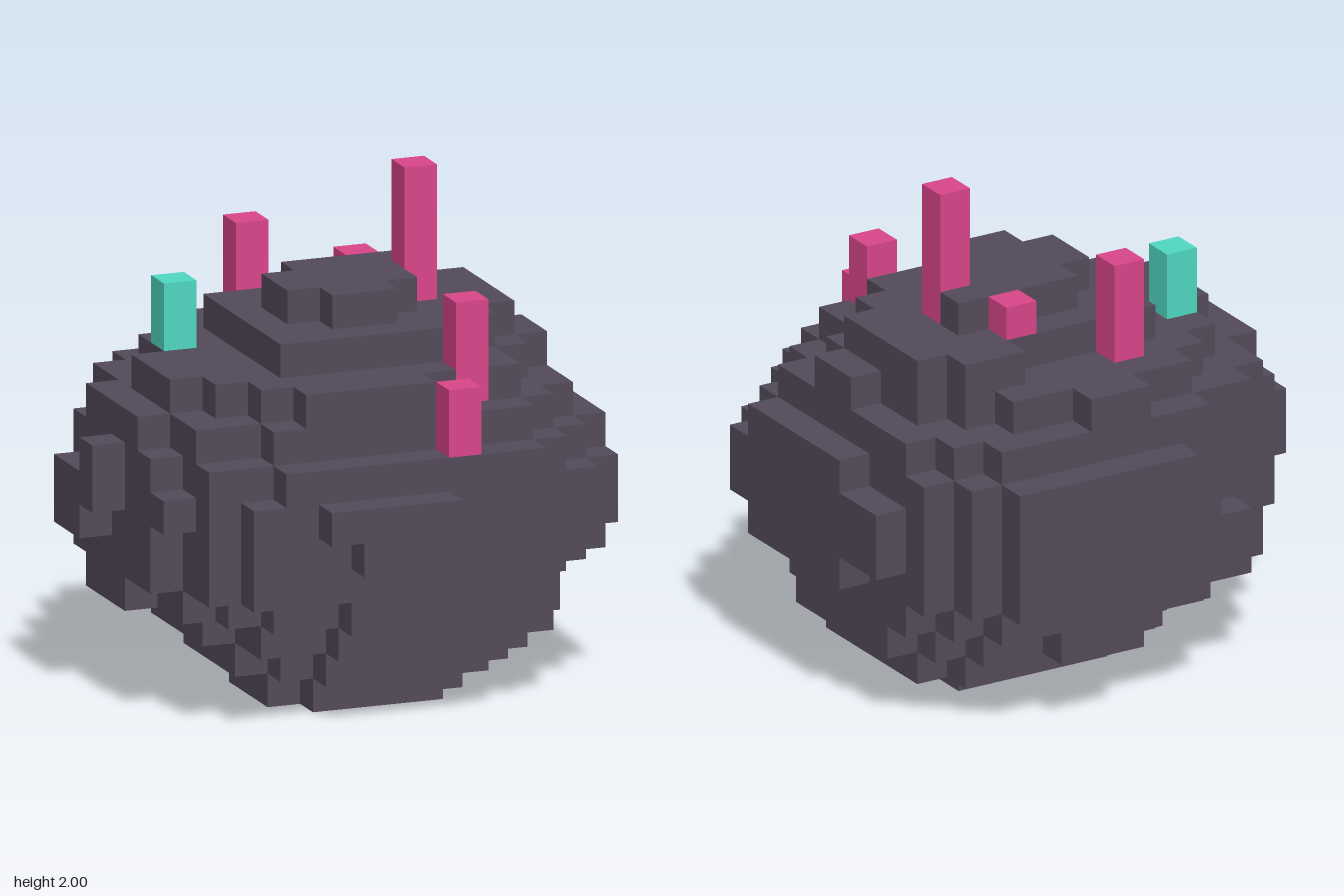
import * as THREE from 'three';

const U = 2 / 15; // edge of one block
const ORIGIN = [-1, 0, -14 * U / 2];

// Stacked layers from the ground up: [x0, x1, z0, z1, corner radii: backMinus, backPlus, frontMinus, frontPlus]
const LAYERS = [
  [5, 11, 5, 10, 2.5, 0, 2.5, 2.5],
  [4, 13, 3, 11, 4, 3, 4, 4],
  [3, 14, 2, 12, 5, 4, 5, 5],
  [1, 14, 1, 13, 6, 4, 8, 6],
  [1, 14, 1, 13, 6, 3, 5.5, 3.5],
  [1, 14, 1, 13, 7, 2.5, 5.5, 3.5],
  [1, 14, 1, 13, 7, 2.5, 4, 3.5],
  [1, 14, 1, 13, 7, 2.5, 5, 3.5],
  [1, 14, 1, 12, 6, 4, 5, 4],
  [2, 14, 1, 12, 8, 8, 5.5, 8],
  [5, 13, 4, 10, 0, 0, 0, 4],
  [6, 11, 5, 9, 2.5, 0, 2.5, 3.3],
];

// Raised plates and ledges: [x0, x1, y0, y1, z0, z1]
const PLATES = [
  [6, 12, 4, 8, 0, 1],                        // back
  [8, 10, 2, 3, 1, 2],                        // knob under the back plate
  [6, 9, 5, 6, 13, 14], [5, 9, 6, 7, 13, 14], // front
  [14, 15, 4, 5, 5, 10], [14, 15, 5, 7, 3, 11], [14, 15, 7, 8, 5, 10], // +x side
  [0, 1, 5, 6, 5, 7], [0, 1, 6, 7, 5, 8], [0, 1, 7, 8, 7, 8],          // -x side
  [10, 12, 10, 11, 3, 4],                     // ledge behind the crown
  [11, 12, 9, 10, 10, 11],                    // step beside the shoulder post
  [13, 14, 9, 10, 7, 8],                      // +x shoulder
  [13, 14, 5, 7, 11, 12],                     // front +x corner
  [3, 4, 4, 6, 12, 13], [2, 3, 4, 6, 11, 12], // front -x corner
  [1, 2, 4, 8, 4, 5], [2, 3, 4, 8, 3, 4],     // back -x corner
];

// Posts standing on the top: [name, colour, x, z, y0, y1]
const POSTS = [
  ['frontPost', 'pink', 9, 12, 8, 10],
  ['shoulderPost', 'pink', 10, 10, 9, 12],
  ['tallPost', 'pink', 10, 6, 11, 15],
  ['shortPost', 'pink', 9, 4, 11, 12],
  ['backPost', 'pink', 6, 3, 10, 13],
  ['tealPost', 'teal', 3, 5, 10, 12],
];

// Rounded-rectangle footprint test for one layer
function inLayer(x, y, z) {
  const layer = LAYERS[y];
  if (!layer) return false;
  const [x0, x1, z0, z1, ...radii] = layer;
  if (x < x0 || x >= x1 || z < z0 || z >= z1) return false;
  return radii.every((r, i) => {
    const a = r - 0.5 - (i % 2 ? x1 - 1 - x : x - x0);
    const b = r - 0.5 - (i < 2 ? z - z0 : z1 - 1 - z);
    return a <= 0 || b <= 0 || a * a + b * b <= r * r;
  });
}

function isRock(x, y, z) {
  if (POSTS.some(([, , px, pz, y0, y1]) => x === px && z === pz && y >= y0 && y < y1)) return false;
  return inLayer(x, y, z) || PLATES.some(([x0, x1, y0, y1, z0, z1]) =>
    x >= x0 && x < x1 && y >= y0 && y < y1 && z >= z0 && z < z1);
}

// Skin of all exposed block faces
function rockGeometry() {
  const pos = [], nor = [], index = [];
  const addFace = (cell, axis, sign) => {
    const u = (axis + 1) % 3, v = (axis + 2) % 3, base = pos.length / 3;
    for (const [a, b] of [[0, 0], [1, 0], [1, 1], [0, 1]]) {
      const p = [...cell], n = [0, 0, 0];
      p[axis] += sign > 0 ? 1 : 0;
      p[u] += a;
      p[v] += b;
      n[axis] = sign;
      pos.push(...p.map((c, i) => c * U + ORIGIN[i]));
      nor.push(...n);
    }
    const order = sign > 0 ? [0, 1, 2, 0, 2, 3] : [0, 2, 1, 0, 3, 2];
    index.push(...order.map((i) => base + i));
  };
  for (let x = 0; x < 15; x++) for (let y = 0; y < 12; y++) for (let z = 0; z < 14; z++) {
    if (!isRock(x, y, z)) continue;
    for (let axis = 0; axis < 3; axis++) for (const sign of [-1, 1]) {
      const n = [x, y, z];
      n[axis] += sign;
      if (!isRock(...n)) addFace([x, y, z], axis, sign);
    }
  }
  const g = new THREE.BufferGeometry();
  g.setAttribute('position', new THREE.Float32BufferAttribute(pos, 3));
  g.setAttribute('normal', new THREE.Float32BufferAttribute(nor, 3));
  g.setIndex(index);
  return g;
}

export function createModel() {
  const makeMaterial = (name, color) => {
    const m = new THREE.MeshStandardMaterial({ color });
    m.name = name;
    return m;
  };
  const materials = {
    rock: makeMaterial('rock', 0x544a5a),
    pink: makeMaterial('pink', 0xd9468a),
    teal: makeMaterial('teal', 0x4fd8c2),
  };
  const model = new THREE.Group();
  model.name = 'blockRock';

  const rock = new THREE.Mesh(rockGeometry(), materials.rock);
  rock.name = 'rockBody';
  model.add(rock);

  for (const [name, colour, x, z, y0, y1] of POSTS) {
    const post = new THREE.Mesh(new THREE.BoxGeometry(U, (y1 - y0) * U, U), materials[colour]);
    post.name = name;
    post.position.set((x + 0.5) * U + ORIGIN[0], (y0 + y1) / 2 * U, (z + 0.5) * U + ORIGIN[2]);
    model.add(post);
  }
  return model;
}
